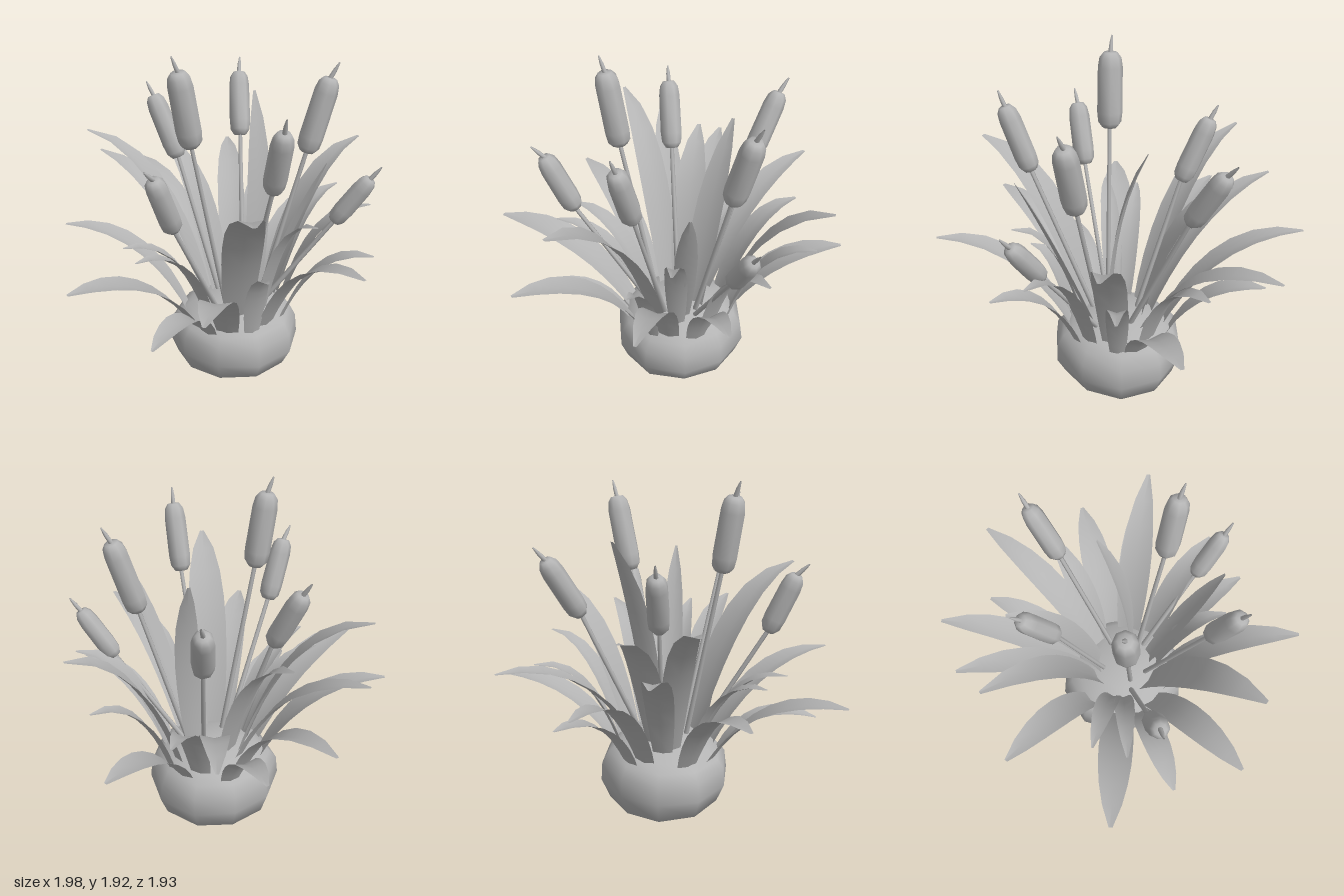
import * as THREE from 'three';
import { mergeVertices } from 'three/addons/utils/BufferGeometryUtils.js';

const V = (a) => new THREE.Vector3(...a);
const UP = new THREE.Vector3(0, 1, 0);
const CENTRE = V([0.015, 0, -0.1]);

// weld duplicate points so the shading is smooth everywhere
function smooth(geo) {
  geo.deleteAttribute('uv');
  geo.deleteAttribute('normal');
  const g = mergeVertices(geo, 1e-4);
  g.computeVertexNormals();
  return g;
}

const lathe = (pts, sides) =>
  new THREE.LatheGeometry(pts.map(([r, y]) => new THREE.Vector2(r, y)), sides);

// lumpy, slightly tilted clump of earth
function moundGeometry() {
  const geo = lathe([[0, 0.025], [0.24, 0.012], [0.33, 0.05], [0.373, 0.16], [0.363, 0.27],
    [0.325, 0.33], [0.27, 0.37], [0.16, 0.42], [0, 0.435]], 10);
  const p = geo.attributes.position;
  for (let i = 0; i < p.count; i++) {
    const x = p.getX(i), y = p.getY(i), z = p.getZ(i);
    const k = 1 + 0.02 * Math.sin(3 * Math.atan2(z, x) + y * 6);
    p.setXYZ(i, x * k, y + (y < 0.1 ? 0.05 * x : 0) - (y > 0.3 ? 0.04 * z : 0), z * k);
  }
  return smooth(geo);
}

// arching blade: strip swept along a curve, with a shallow channel down the middle
function leafGeometry(base, control, tip, width, out) {
  const curve = new THREE.QuadraticBezierCurve3(base, control, tip);
  const half = [0.062, 0.076, 0.086, 0.092, 0.094, 0.09, 0.077, 0.052, 0.01];
  const n = half.length - 1;
  const side = new THREE.Vector3().crossVectors(UP, out);
  const pos = [], idx = [];
  half.forEach((w, i) => {
    const u = i / n, c = curve.getPointAt(u);
    const normal = new THREE.Vector3().crossVectors(curve.getTangentAt(u), side).normalize();
    for (const s of [-1, 0, 1]) {
      const q = c.clone().addScaledVector(side, s * w * width)
        .addScaledVector(normal, s ? 0.1 * w : -0.1 * w);
      pos.push(q.x, q.y, q.z);
    }
    if (i < n) for (const j of [0, 1]) {
      const a = i * 3 + j;
      idx.push(a, a + 1, a + 3, a + 1, a + 4, a + 3);
    }
  });
  const g = new THREE.BufferGeometry();
  g.setAttribute('position', new THREE.Float32BufferAttribute(pos, 3));
  g.setIndex(idx);
  g.computeVertexNormals();
  return g;
}

export function createModel() {
  const group = new THREE.Group();
  const grey = new THREE.MeshStandardMaterial({ color: 0xb4b4b4, side: THREE.DoubleSide });
  grey.name = 'plain grey';
  const add = (name, geo, parent = group) => {
    const m = new THREE.Mesh(geo, grey);
    m.name = name;
    parent.add(m);
    return m;
  };

  add('mound', moundGeometry()).position.copy(CENTRE);

  // leaves: tip x, y, z, width factor, base radius
  const leaves = [
    [-0.25, 0.75, -0.97, 0.95, 0.27], [0.14, 1.24, -0.92, 0.95, 0.22], [0.06, 0.93, -0.85, 0.65, 0.28],
    [-0.77, 1.01, -0.68, 0.85, 0.17], [-0.41, 0.92, -0.68, 0.8, 0.24], [-0.76, 0.75, -0.36, 0.8, 0.28],
    [-0.60, 1.21, -0.07, 0.95, 0.12], [-0.99, 0.96, -0.13, 0.85, 0.24], [-0.85, 1.13, 0.22, 0.85, 0.18],
    [-0.68, 1.35, 0.4, 0.85, 0.16], [-0.59, 0.87, 0.63, 0.9, 0.27], [-0.02, 0.8, 0.96, 1.03, 0.29],
    [-0.13, 0.88, 0.55, 0.65, 0.2], [0.06, 0.89, 0.6, 0.6, 0.2], [0.33, 0.54, 0.7, 0.8, 0.3],
    [0.68, 0.84, 0.64, 0.95, 0.27], [0.75, 1.31, 0.4, 1.15, 0.18], [0.99, 0.96, -0.1, 0.85, 0.26],
    [0.69, 0.82, -0.5, 0.8, 0.28], [0.5, 1.01, -0.66, 0.75, 0.25], [0.54, 1.38, -0.26, 0.65, 0.15, 0.62],
    [0.58, 1.05, -0.18, 0.65, 0.2], [0.5, 0.78, 0.08, 0.65, 0.29],
  ];
  const leafGroup = new THREE.Group();
  leafGroup.name = 'leaves';
  group.add(leafGroup);
  // the optional last number moves the bend outwards for straighter leaves
  for (const [x, y, z, w, r, bend = 0.36] of leaves) {
    const tip = V([x, y, z]);
    const dir = V([x - CENTRE.x, 0, z - CENTRE.z]).normalize();
    const base = CENTRE.clone().addScaledVector(dir, r).setY(r < 0.22 ? 0.37 : 0.32);
    const control = base.clone().lerp(tip, bend);
    control.y = y < 0.7 ? y + 0.14 : y < 1.1 ? y + 0.02 : y - 0.05 - (bend - 0.36);
    add('leaf', leafGeometry(base, control, tip, w, dir), leafGroup);
  }
  // tall upright inner leaf, turned edge-on to the front
  add('uprightLeaf', leafGeometry(V([0.06, 0.38, -0.19]), V([0.08, 1.12, -0.24]),
    V([-0.12, 1.57, -0.34]), 0.8, V([-1, 0, -0.15]).normalize()), leafGroup);

  // reeds: stem foot, head bottom, head top, spike tip, head radius
  const reeds = [
    [[0.07, 0.37, 0.0], [0.045, 1.43, 0.22], [0.035, 1.84, 0.29], [0.025, 1.92, 0.32], 0.068],
    [[0.1, 0.37, -0.2], [0.235, 1.3, -0.41], [0.285, 1.71, -0.515], [0.31, 1.79, -0.55], 0.066],
    [[0.14, 0.37, -0.05], [0.47, 1.28, 0.04], [0.59, 1.64, 0.085], [0.62, 1.72, 0.1], 0.06],
    [[0.07, 0.37, 0.05], [0.18, 1.08, 0.44], [0.215, 1.41, 0.58], [0.23, 1.47, 0.64], 0.06],
    [[-0.08, 0.37, -0.07], [-0.33, 1.2, 0.03], [-0.48, 1.54, 0.085], [-0.52, 1.61, 0.1], 0.06],
    [[-0.03, 0.37, -0.2], [-0.33, 1.22, -0.42], [-0.48, 1.55, -0.53], [-0.52, 1.62, -0.57], 0.06],
    [[0.12, 0.37, -0.2], [0.42, 0.94, -0.46], [0.56, 1.21, -0.575], [0.6, 1.28, -0.61], 0.056],
  ];
  // tapered part standing on a and pointing at b
  const span = (name, geo, a, b, parent) => {
    const m = add(name, geo, parent);
    m.position.copy(a);
    m.quaternion.setFromUnitVectors(UP, b.clone().sub(a).normalize());
  };
  for (const [f, lo, hi, end, r] of reeds) {
    const [foot, bottom, top, tip] = [f, lo, hi, end].map(V);
    const reed = new THREE.Group();
    reed.name = 'reed';
    group.add(reed);
    const stemL = foot.distanceTo(bottom), h = bottom.distanceTo(top), spikeL = top.distanceTo(tip);
    span('stem', smooth(lathe([[0.015, 0], [0.012, stemL + 0.02]], 6)), foot, bottom, reed);
    span('seedHead', smooth(lathe([[0, 0], [r * 0.6, 0.005], [r * 0.92, 0.035], [r, 0.09],
      [r * 0.97, h - 0.08], [r * 0.85, h - 0.03], [r * 0.55, h - 0.003], [0, h]], 8)), bottom, top, reed);
    span('spike', smooth(lathe([[0.013, -0.01], [0.011, spikeL * 0.5], [0.004, spikeL]], 6)), top, tip, reed);
  }
  return group;
}
